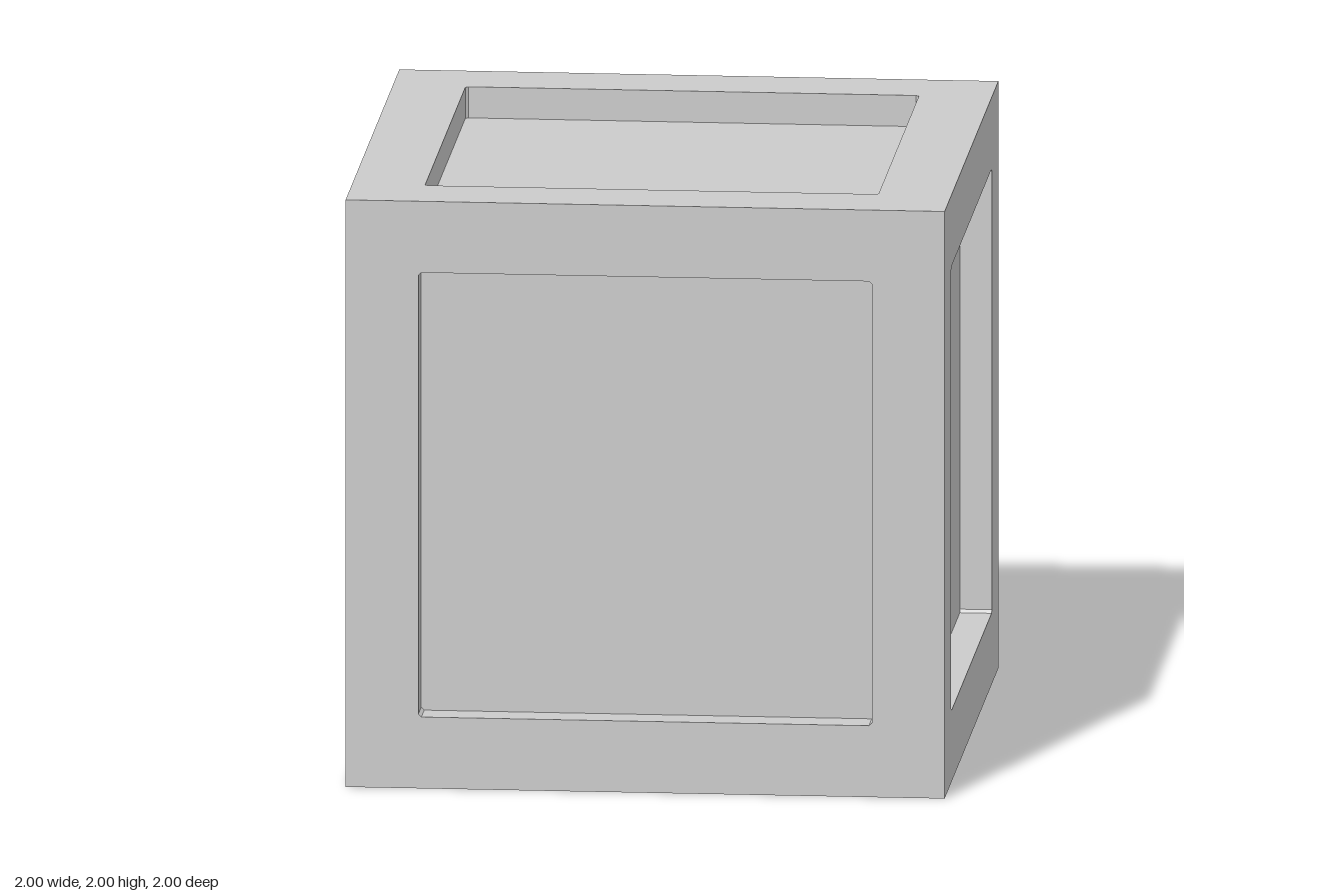
import * as THREE from 'three';

const DEPTH = 0.106;          // recess depth of every panel
const CORE = 2 - 2 * DEPTH;   // size of the inner cube
const material = new THREE.MeshStandardMaterial({ color: 0xcccccc, flatShading: true });

// Square opening with slightly clipped corners
function openingPath() {
  const h = 0.757, c = 0.01;
  const points = [[h, h - c], [h - c, h], [c - h, h], [-h, h - c],
    [-h, c - h], [c - h, -h], [h - c, -h], [h, c - h]];
  return new THREE.Path(points.map(([x, y]) => new THREE.Vector2(x, y)));
}

// Flat frame around one panel, lying on the core and facing +z
function frameGeometry(width, height) {
  const w = width / 2, h = height / 2;
  const shape = new THREE.Shape([
    new THREE.Vector2(-w, -h), new THREE.Vector2(w, -h),
    new THREE.Vector2(w, h), new THREE.Vector2(-w, h)]);
  shape.holes.push(openingPath());
  return new THREE.ExtrudeGeometry(shape, { depth: DEPTH, bevelEnabled: false })
    .translate(0, 0, CORE / 2);
}

// Regular five-pointed star
function starGeometry(radius, depth) {
  const points = [];
  for (let i = 0; i < 10; i++) {
    const r = i % 2 ? radius * 0.382 : radius;
    const a = Math.PI / 2 + i * Math.PI / 5;
    points.push(new THREE.Vector2(r * Math.cos(a), r * Math.sin(a)));
  }
  return new THREE.ExtrudeGeometry(new THREE.Shape(points), { depth, bevelEnabled: false })
    .translate(0, 0, CORE / 2);
}

export function createModel() {
  const model = new THREE.Group();
  model.name = 'starCrate';

  function add(name, geometry, rx = 0, ry = 0) {
    const mesh = new THREE.Mesh(geometry, material);
    mesh.name = name;
    mesh.rotation.set(rx, ry, 0);
    mesh.position.y = 1;
    model.add(mesh);
  }

  // Inner cube supplies the six recessed panels
  add('panels', new THREE.BoxGeometry(CORE, CORE, CORE));

  // Frames are sized to meet along the cube edges without overlapping
  const q = Math.PI / 2;
  add('frontFrame', frameGeometry(2, 2));
  add('backFrame', frameGeometry(2, 2), 0, Math.PI);
  add('leftFrame', frameGeometry(CORE, 2), 0, q);
  add('rightFrame', frameGeometry(CORE, 2), 0, -q);
  add('topFrame', frameGeometry(CORE, CORE), -q);
  add('bottomFrame', frameGeometry(CORE, CORE), q);

  // Raised star on the back panel
  add('backStar', starGeometry(0.5, 0.05), 0, Math.PI);

  return model;
}
